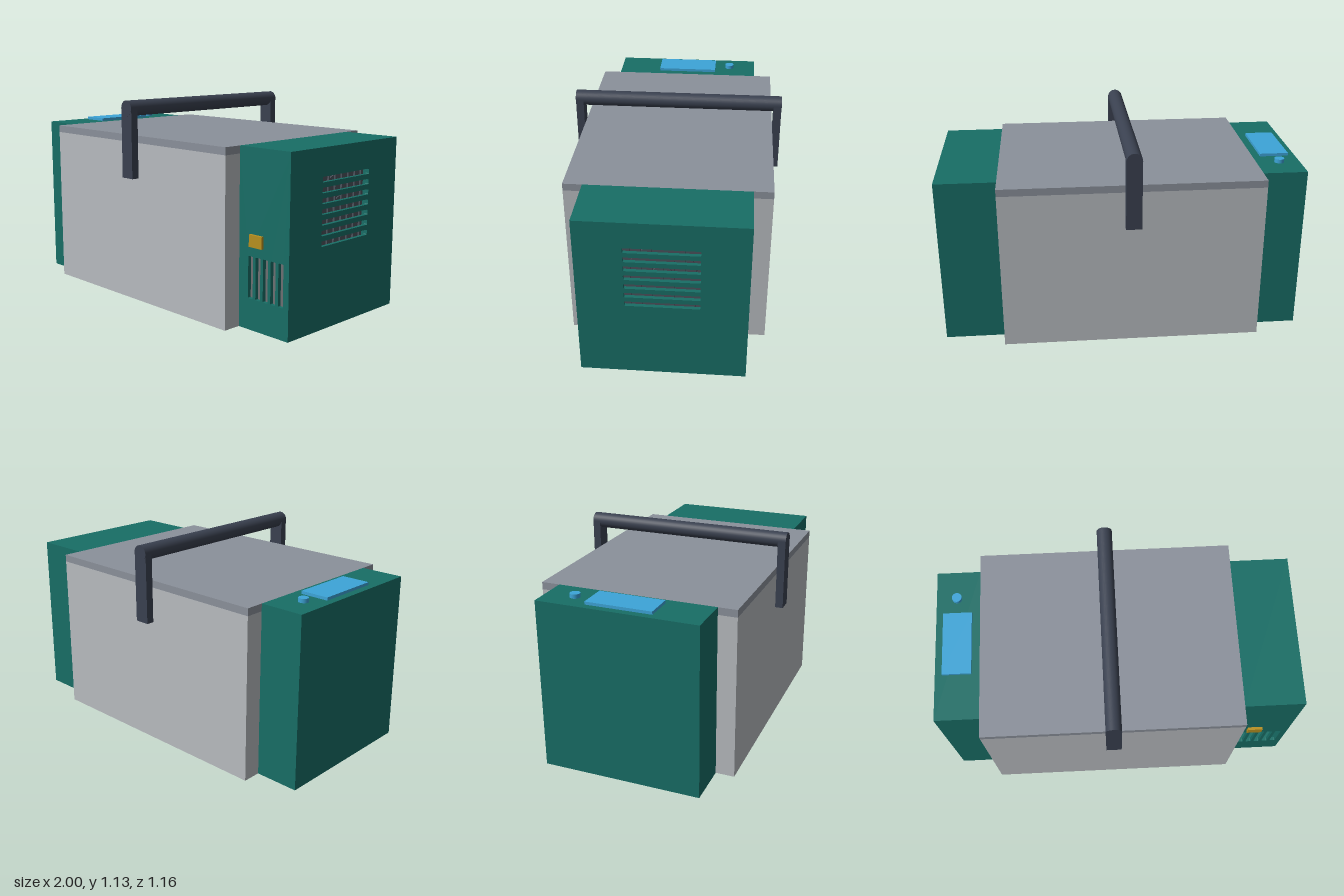
import * as THREE from 'three';

const mat = (color) => new THREE.MeshStandardMaterial({ color });
const teal = mat(0x186e66), grey = mat(0xb8bcc0), lidGrey = mat(0x8b919b), dark = mat(0x3a4150),
  blue = mat(0x3da5d9), amber = mat(0xb8901f), fanGrey = mat(0x4c525c);

export function createModel() {
  const model = new THREE.Group();
  const add = (name, geo, m, parent = model) => {
    const mesh = new THREE.Mesh(geo, m);
    mesh.name = name;
    parent.add(mesh);
    return mesh;
  };
  // Box given by its lower and upper limits on each axis
  const box = (name, m, x0, x1, y0, y1, z0, z1, parent) => {
    const mesh = add(name, new THREE.BoxGeometry(x1 - x0, y1 - y0, z1 - z0), m, parent);
    mesh.position.set((x0 + x1) / 2, (y0 + y1) / 2, (z0 + z1) / 2);
    return mesh;
  };
  // Rounded slot centred on (x, y)
  const slot = (x, y, w, h, r = 0.005) => {
    const p = new THREE.Path(), a = w / 2, b = h / 2;
    p.absarc(x + a - r, y + b - r, r, 0, Math.PI / 2);
    p.absarc(x - a + r, y + b - r, r, Math.PI / 2, Math.PI);
    p.absarc(x - a + r, y - b + r, r, Math.PI, Math.PI * 1.5);
    p.absarc(x + a - r, y - b + r, r, Math.PI * 1.5, Math.PI * 2);
    p.closePath();
    return p;
  };
  const slottedPlate = (x0, x1, y0, y1, slots, depth) => {
    const s = new THREE.Shape([[x0, y0], [x1, y0], [x1, y1], [x0, y1]].map(([x, y]) => new THREE.Vector2(x, y)));
    s.holes = slots;
    return new THREE.ExtrudeGeometry(s, { depth, bevelEnabled: false, curveSegments: 4 });
  };

  // Insulated body and lid
  const H = 0.935, D = 0.435, T = 0.02;
  box('body', grey, -0.757, 0.67, 0, 0.895, -0.537, 0.537);
  box('lid', lidGrey, -0.757, 0.67, 0.895, H, -0.537, 0.537);

  // Control housing with display and button
  box('controlHousing', teal, -1, -0.757, 0, H, -D, D);
  box('displayPanel', blue, -0.96, -0.8, H, 0.951, -0.18, 0.18);
  add('button', new THREE.CylinderGeometry(0.027, 0.027, 0.022, 32), blue).position.set(-0.885, 0.946, -0.272);

  // Hollow ventilated housing
  const housing = new THREE.Group();
  housing.name = 'ventHousing';
  model.add(housing);
  box('housingTop', teal, 0.67, 1, H - T, H, -D, D, housing);
  box('housingBottom', teal, 0.67, 1, 0, T, -D, D, housing);
  box('housingBack', teal, 0.67, 1, T, H - T, -D, -D + T, housing);
  const frontSlots = [], sideSlots = [];
  for (let i = -2; i <= 2; i++) frontSlots.push(slot(0.849 + i * 0.05, 0.275, 0.032, 0.22));
  for (let i = -3; i <= 3; i++) sideSlots.push(slot(0, 0.612 + i * 0.0543, 0.383, 0.028));
  add('frontGrille', slottedPlate(0.67, 1, T, H - T, frontSlots, T), teal, housing).position.z = D - T;
  const side = add('sideGrille', slottedPlate(-D + T, D - T, T, H - T, sideSlots, T), teal, housing);
  side.rotation.y = Math.PI / 2;
  side.position.x = 1 - T;

  // Fan behind the side grille: backing, disc, hub and guard bars
  const fan = new THREE.Group();
  fan.name = 'fan';
  model.add(fan);
  box('fanBacking', fanGrey, 0.935, 0.95, 0.41, 0.815, -0.21, 0.21, fan);
  for (const [name, r, x] of [['fanDisc', 0.175, 0.952], ['fanHub', 0.055, 0.958]]) {
    const disc = add(name, new THREE.CylinderGeometry(r, r, 0.012, 40), fanGrey, fan);
    disc.rotation.z = Math.PI / 2;
    disc.position.set(x, 0.61, 0);
  }
  for (let i = -3; i <= 3; i++) {
    const z = i * 0.054;
    box('guardBar', fanGrey, 0.965, 0.975, 0.42, 0.805, z - 0.005, z + 0.005, fan);
  }

  // Front socket
  box('socket', amber, 0.75, 0.835, 0.437, 0.5, D, 0.451);

  // Carrying handle: two flat arms and a round grip
  const handle = new THREE.Group();
  handle.name = 'handle';
  model.add(handle);
  for (const s of [-1, 1]) {
    const arm = box('handleArm', dark, -0.0855, -0.0005, 0.7, 1.083, 0.538, 0.581, handle);
    arm.position.z *= s;
  }
  const grip = add('handleGrip', new THREE.CylinderGeometry(0.0425, 0.0425, 1.164, 32), dark, handle);
  grip.rotation.x = Math.PI / 2;
  grip.position.set(-0.043, 1.083, 0);

  return model;
}
